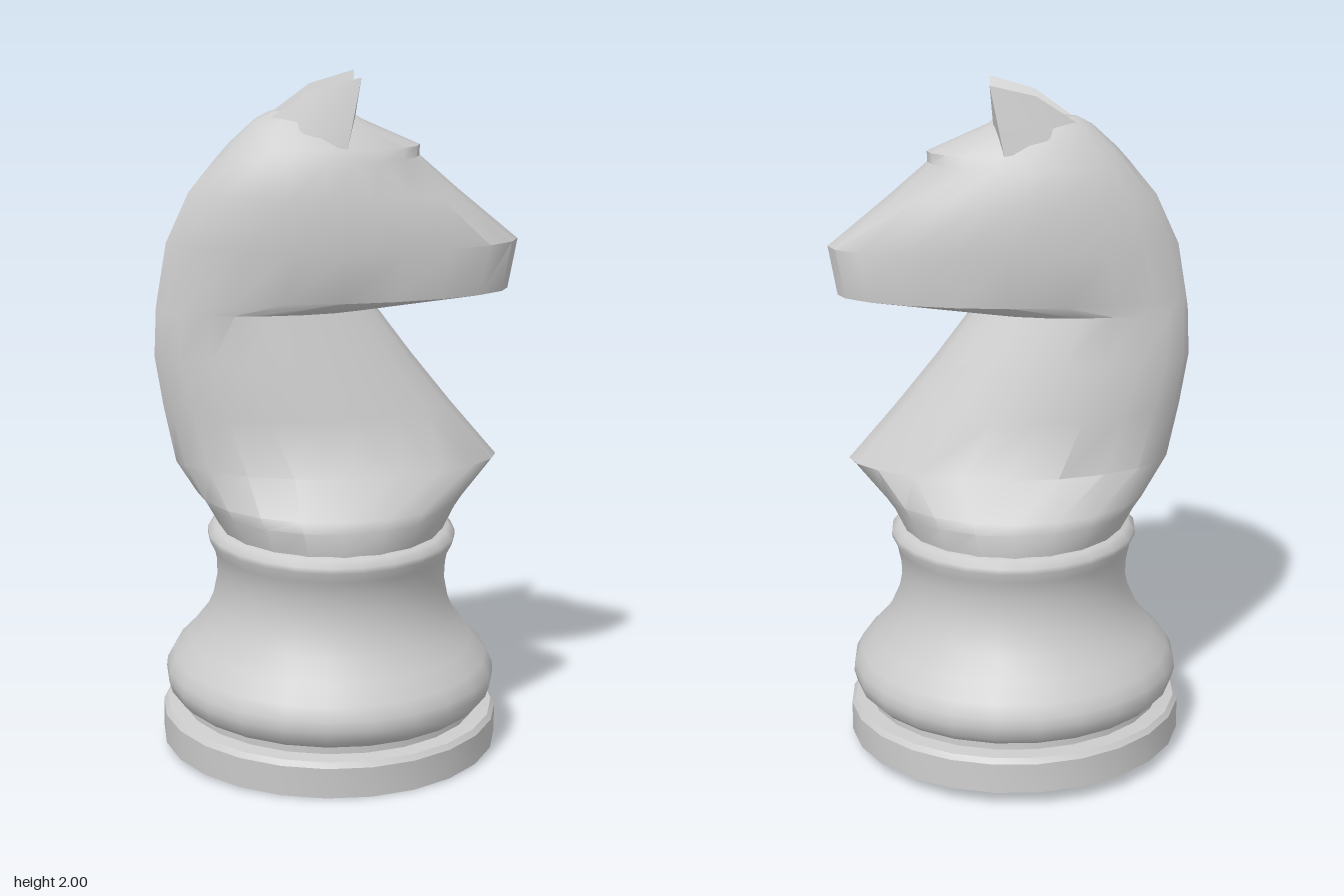
import * as THREE from 'three';
import { toCreasedNormals } from 'three/addons/utils/BufferGeometryUtils.js';
import { ConvexGeometry } from 'three/addons/geometries/ConvexGeometry.js';

const material = new THREE.MeshStandardMaterial({ color: 0xcccccc });

function addMesh(parent, name, geometry) {
  const mesh = new THREE.Mesh(geometry, material);
  mesh.name = name;
  parent.add(mesh);
  return mesh;
}

// Turned part from [radius, height] pairs
function turned(profile, crease) {
  const points = profile.map(([r, y]) => new THREE.Vector2(r, y));
  return toCreasedNormals(new THREE.LatheGeometry(points, 24, Math.PI / 24), crease);
}

// Skin over horizontal rings: [y, back x, front x, half width, back taper, front taper, front rise]
function loft(rings, sides) {
  const positions = [], index = [];
  for (const [y, back, front, width, pBack, pFront, rise] of rings) {
    for (let i = 0; i < sides; i++) {
      const a = (i / sides) * Math.PI * 2;
      const t = (1 - Math.cos(a)) / 2;
      const s = Math.sin(a);
      const power = t < 0.5 ? pBack : pFront;
      positions.push(
        back + (front - back) * t,
        y + rise * t,
        Math.sign(s) * width * Math.pow(Math.abs(s), power)
      );
    }
  }
  for (let r = 0; r < rings.length - 1; r++) {
    for (let i = 0; i < sides; i++) {
      const j = (i + 1) % sides;
      const a = r * sides + i, b = r * sides + j;
      index.push(a, b, b + sides, a, b + sides, a + sides);
    }
  }
  // Top cap
  const top = (rings.length - 1) * sides;
  for (let i = 1; i < sides - 1; i++) index.push(top, top + i, top + i + 1);
  const geometry = new THREE.BufferGeometry();
  geometry.setAttribute('position', new THREE.Float32BufferAttribute(positions, 3));
  geometry.setIndex(index);
  return toCreasedNormals(geometry, 0.7);
}

export function createModel() {
  const model = new THREE.Group();
  model.name = 'chessKnight';

  // The piece leans and turns slightly
  const piece = new THREE.Group();
  piece.name = 'piece';
  piece.position.set(-0.01, 0.025, 0);
  piece.rotation.set(0.05, -0.1, 0);
  model.add(piece);

  // Foot disc with a narrow groove above it
  addMesh(piece, 'foot', turned([
    [0, 0], [0.497, 0], [0.497, 0.09], [0.485, 0.105], [0.44, 0.11], [0.44, 0.15],
  ], 0.6));

  // Bulging stem, waist and collar
  addMesh(piece, 'pedestal', turned([
    [0.42, 0.137], [0.455, 0.137], [0.478, 0.16], [0.488, 0.195], [0.485, 0.225],
    [0.465, 0.262], [0.42, 0.31], [0.375, 0.37], [0.348, 0.43], [0.336, 0.49],
    [0.338, 0.54], [0.348, 0.59], [0.364, 0.622], [0.364, 0.638], [0.345, 0.656],
    [0.32, 0.664], [0, 0.67],
  ], 0.9));

  // Chest, neck and head in one skin, with the jaw overhanging the throat
  addMesh(piece, 'horse', loft([
    [0.65, -0.325, 0.325, 0.33, 1, 1, 0],
    [0.73, -0.37, 0.365, 0.34, 1, 1, 0],
    [0.76, -0.395, 0.39, 0.325, 1.05, 1.05, 0],
    [0.855, -0.455, 0.485, 0.22, 1.2, 1.2, 0],
    [1.02, -0.49, 0.345, 0.185, 1.3, 1.1, 0],
    [1.17, -0.515, 0.225, 0.15, 1.3, 1, 0],
    [1.31, -0.51, 0.12, 0.117, 1.2, 1, 0],
    [1.345, -0.505, 0.505, 0.155, 1.3, 1.1, 0.01],
    [1.5, -0.48, 0.53, 0.172, 1.3, 1.1, 0],
    [1.645, -0.415, 0.355, 0.166, 1.3, 1, 0],
    [1.745, -0.335, 0.24, 0.135, 1.2, 1, 0],
    [1.785, -0.3, 0.24, 0.115, 1.2, 1, -0.01],
    [1.85, -0.23, 0.07, 0.075, 1.1, 1, 0],
    [1.872, -0.19, 0.04, 0.03, 1, 1, 0],
  ], 20));

  // Pointed ears sweeping back into the crest
  for (const [name, side] of [['leftEar', -1], ['rightEar', 1]]) {
    const corners = [
      [-0.22, 1.835, 0.025], [-0.07, 1.94, 0.06], [0.06, 1.975, 0.083],
      [0.05, 1.84, 0.015], [0.02, 1.78, 0.115], [-0.12, 1.8, 0.09],
    ].map(([x, y, z]) => new THREE.Vector3(x, y, z * side));
    addMesh(piece, name, toCreasedNormals(new ConvexGeometry(corners), 0.6));
  }

  return model;
}
